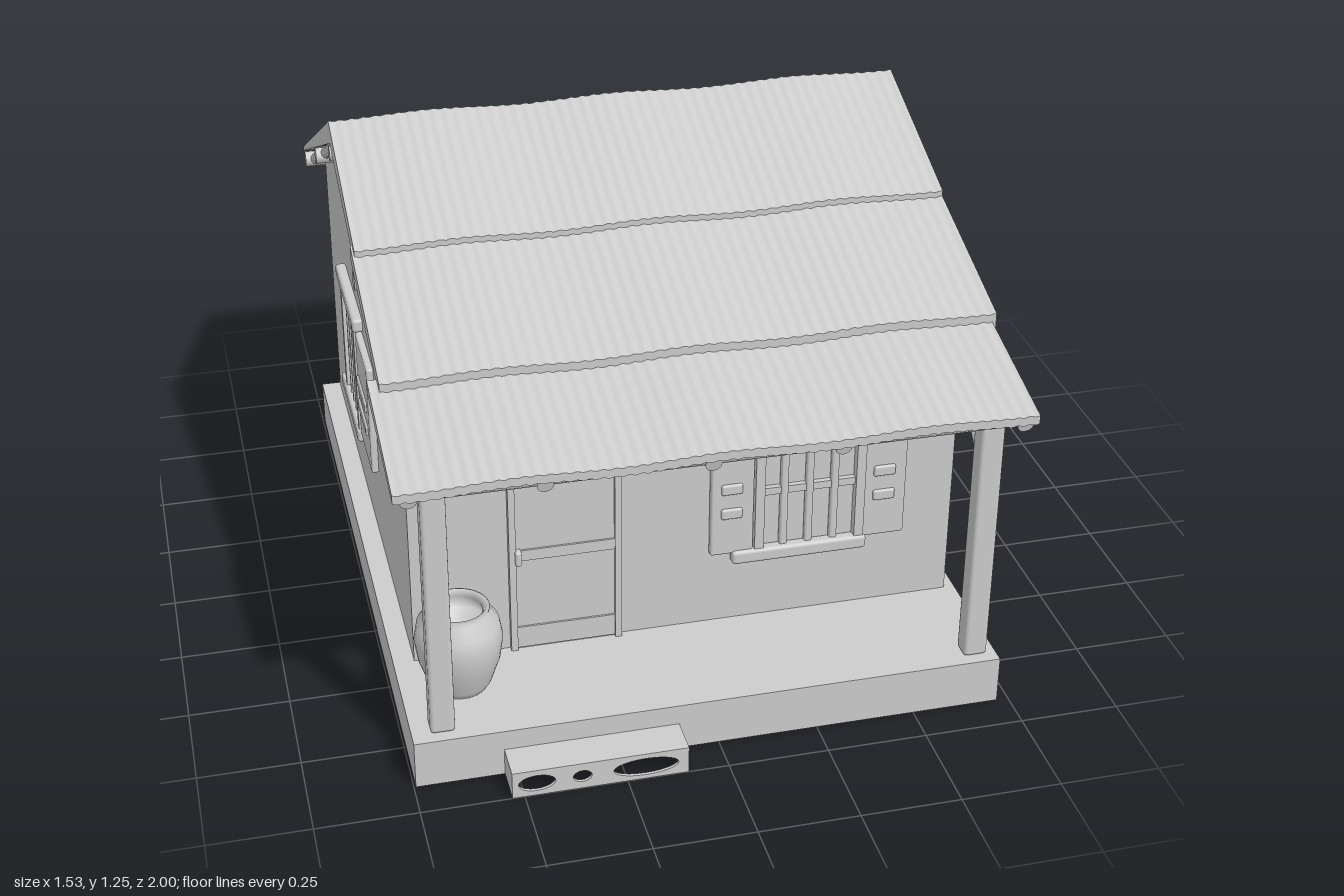
import * as THREE from 'three';
import { RoundedBoxGeometry } from 'three/addons/geometries/RoundedBoxGeometry.js';

export function createModel() {
  const house = new THREE.Group();
  house.name = 'house';
  const clay = new THREE.MeshStandardMaterial({ color: 0xcccccc });
  clay.name = 'pale grey';
  clay.side = THREE.DoubleSide;

  const add = (name, geometry, parent = house) => {
    const mesh = new THREE.Mesh(geometry, clay);
    mesh.name = name;
    parent.add(mesh);
    return mesh;
  };
  // Box given by its limits on each axis
  const block = (name, x0, x1, y0, y1, z0, z1, parent, round = 0) => {
    const size = [x1 - x0, y1 - y0, z1 - z0];
    const geo = round ? new RoundedBoxGeometry(...size, 2, round) : new THREE.BoxGeometry(...size);
    geo.translate((x0 + x1) / 2, (y0 + y1) / 2, (z0 + z1) / 2);
    return add(name, geo, parent);
  };
  // Round pole between two points
  const pole = (name, a, b, r, parent) => {
    const from = new THREE.Vector3(...a), to = new THREE.Vector3(...b);
    const dir = to.clone().sub(from);
    const mesh = add(name, new THREE.CylinderGeometry(r, r, dir.length(), 12), parent);
    mesh.position.copy(from).add(to).multiplyScalar(0.5);
    mesh.quaternion.setFromUnitVectors(new THREE.Vector3(0, 1, 0), dir.normalize());
    return mesh;
  };

  // Hollow plinth, open underneath
  const [px0, px1, pz0, pz1, floorY] = [-0.745, 0.72, -0.87, 0.905, 0.125];
  block('plinthFront', px0, px1, 0, floorY, pz1 - 0.012, pz1);
  block('plinthBack', px0, px1, 0, floorY, pz0, pz0 + 0.012);
  block('plinthRight', px0, px0 + 0.012, 0, floorY, pz0, pz1);
  block('plinthLeft', px1 - 0.012, px1, 0, floorY, pz0, pz1);
  block('porchFloor', px0, px1, floorY - 0.012, floorY, pz0, pz1);
  block('floorRidge', -0.69, 0.69, floorY - 0.02, floorY - 0.01, 0.56, 0.575);

  // Hollow front step with three openings in its face
  const face = new THREE.Shape([[-0.53, 0], [-0.1, 0], [-0.1, 0.07], [-0.53, 0.07]].map(p => new THREE.Vector2(...p)));
  for (const [cx, rx, ry] of [[-0.47, 0.045, 0.022], [-0.36, 0.023, 0.016], [-0.205, 0.08, 0.024]]) {
    const hole = new THREE.Path();
    hole.absellipse(cx, 0.035, rx, ry, 0, Math.PI * 2, true);
    face.holes.push(hole);
  }
  const step = new THREE.Group();
  step.name = 'frontStep';
  house.add(step);
  add('stepFace', new THREE.ExtrudeGeometry(face, { depth: 0.008, bevelEnabled: false }), step).position.z = 0.992;
  block('stepTop', -0.53, -0.1, 0.062, 0.072, 0.9, 1, step);
  for (const x of [-0.53, -0.108]) block('stepSide', x, x + 0.008, 0, 0.07, 0.9, 1, step);

  // Gabled walls
  const gable = new THREE.Shape(
    [[0.575, 0.12], [0.575, 0.915], [-0.215, 1.205], [-0.86, 0.885], [-0.86, 0.12]].map(p => new THREE.Vector2(...p)));
  const wallGeo = new THREE.ExtrudeGeometry(gable, { depth: 1.385, bevelEnabled: false });
  wallGeo.rotateY(-Math.PI / 2).translate(0.6925, 0, 0);
  add('walls', wallGeo);

  // Roof sheets: ribbed slabs laid from (z0, y0) down to (z1, y1)
  const roofSheet = (name, x0, x1, [z0, y0], [z1, y1], thick0, thick1, rib) => {
    const geo = new THREE.BoxGeometry(1, 1, 1, 240, 1, 10);
    const p = geo.attributes.position;
    for (let i = 0; i < p.count; i++) {
      const u = p.getX(i) + 0.5, v = p.getZ(i) + 0.5, top = p.getY(i) > 0;
      const x = x0 + (x1 - x0) * u;
      const sag = 0.004 * Math.cos(x * 13) - 0.004;
      const y = y0 + (y1 - y0) * v + sag + rib(x, v);
      p.setXYZ(i, x, top ? y : y - thick0 - (thick1 - thick0) * v, z0 + (z1 - z0) * v);
    }
    // Slopes running to the back reverse the winding
    if (z1 < z0) {
      const idx = geo.index;
      for (let i = 0; i < idx.count; i += 3) {
        const a = idx.getX(i);
        idx.setX(i, idx.getX(i + 1));
        idx.setX(i + 1, a);
      }
    }
    geo.computeVertexNormals();
    add(name, geo);
  };
  const ribs = x => 0.0018 * Math.sin(x * 210);
  const thatch = (x, v) => 0.001 * Math.sin(x * 47 + Math.sin(x * 31)) * Math.sin(v * 7 + x * 9);
  roofSheet('roofUpperCourse', -0.74, 0.76, [-0.22, 1.252], [0.21, 1.09], 0.06, 0.045, ribs);
  roofSheet('roofMiddleCourse', -0.745, 0.76, [0.17, 1.088], [0.615, 0.945], 0.04, 0.04, ribs);
  roofSheet('roofPorchCourse', -0.768, 0.75, [0.57, 0.935], [0.94, 0.845], 0.035, 0.022, ribs);
  roofSheet('roofBackSlope', -0.74, 0.76, [-0.22, 1.252], [-1, 0.85], 0.06, 0.012, thatch);

  // Purlins under the roof
  for (const [z, y, r] of [[0.2, 1.0, 0.024], [0.565, 0.89, 0.022], [-0.2, 1.165, 0.02], [-0.58, 0.995, 0.022], [-0.905, 0.845, 0.022]])
    pole('purlin', [-0.745, y, z], [0.745, y, z], r);
  block('porchBeam', -0.76, 0.745, 0.78, 0.822, 0.83, 0.88, house, 0.012);
  pole('eavesPole', [-0.76, 0.815, 0.905], [0.745, 0.815, 0.905], 0.017);

  // Porch rafters and gable trim
  for (const x of [-0.73, -0.42, -0.03, 0.28, 0.725])
    pole('rafter', [x, 0.895, 0.57], [x, 0.803, 0.92], 0.02);
  for (const x of [-0.715, 0.715]) {
    pole('gableTrimFront', [x, 1.18, -0.21], [x, 0.9, 0.58], 0.018);
    pole('gableTrimBack', [x, 1.18, -0.21], [x, 0.845, -0.9], 0.016);
  }

  // Porch posts with braces
  for (const x of [-0.67, 0.665]) {
    block('porchPost', x - 0.03, x + 0.03, floorY, 0.8, 0.825, 0.878, house, 0.01);
    pole('postBrace', [x, 0.66, 0.835], [x, 0.885, 0.59], 0.016);
  }

  // Door
  const door = new THREE.Group();
  door.name = 'door';
  house.add(door);
  block('doorLeaf', -0.44, -0.18, floorY, 0.69, 0.57, 0.582, door);
  for (const x of [-0.45, -0.185]) block('doorJamb', x, x + 0.017, floorY, 0.7, 0.57, 0.592, door);
  block('doorHead', -0.45, -0.168, 0.685, 0.7, 0.57, 0.592, door);
  block('doorLintel', -0.485, -0.165, 0.705, 0.735, 0.57, 0.58, door);
  for (const [y0, y1] of [[0.13, 0.19], [0.385, 0.415], [0.655, 0.685]])
    block('doorRail', -0.433, -0.185, y0, y1, 0.57, 0.587, door);
  block('doorHandle', -0.436, -0.42, 0.38, 0.42, 0.58, 0.605, door, 0.006);

  // Barred window, facing +z around its own origin; shutters are [x0, x1] pairs
  const makeWindow = (name, w, y0, y1, bars, depth, shutters) => {
    const win = new THREE.Group();
    win.name = name;
    const h = w / 2, mid = (y0 + y1) / 2;
    block('windowHead', -h - 0.05, h + 0.05, y1 + 0.01, y1 + 0.048, 0, depth, win, depth * 0.3);
    block('windowSill', -h - 0.07, h + 0.02, y0 - 0.03, y0 + 0.008, 0, depth, win, depth * 0.3);
    for (const s of [-1, 1])
      block('windowJamb', s * h - 0.012, s * h + 0.012, y0, y1 + 0.015, 0, depth * 0.8, win);
    for (let i = 1; i <= bars; i++) {
      const x = -h + (w * i) / (bars + 1);
      block('windowBar', x - 0.01, x + 0.01, y0, y1 + 0.015, 0, depth * 0.6, win, depth * 0.2);
    }
    block('windowMidRail', -h, h, mid - 0.01, mid + 0.01, 0, depth * 0.5, win);
    for (const [a, b] of shutters) {
      block('shutter', a, b, y0, y1, 0, depth * 0.7, win, depth * 0.2);
      for (const y of [mid - 0.06, mid + 0.01])
        block('shutterSlat', a + 0.025, b - 0.03, y, y + 0.03, 0, depth * 0.9, win, depth * 0.2);
    }
    house.add(win);
    return win;
  };
  makeWindow('frontWindow', 0.26, 0.33, 0.66, 3, 0.032, [[-0.255, -0.145], [0.138, 0.25]])
    .position.set(0.312, 0, 0.573);
  const left = makeWindow('leftWindow', 0.22, 0.385, 0.665, 3, 0.018, []);
  left.position.set(0.69, 0, -0.295);
  left.rotation.y = Math.PI / 2;
  const right = makeWindow('rightWindow', 0.25, 0.35, 0.66, 4, 0.03, [[0.145, 0.36]]);
  right.position.set(-0.69, 0, -0.32);
  right.rotation.y = -Math.PI / 2;

  // Water jar with an open mouth
  const jar = [[0, 0], [0.066, 0], [0.078, 0.02], [0.1, 0.085], [0.108, 0.14], [0.1, 0.185], [0.076, 0.212],
    [0.078, 0.226], [0.07, 0.23], [0.06, 0.215], [0.08, 0.17], [0, 0.15]].map(p => new THREE.Vector2(...p));
  add('waterJar', new THREE.LatheGeometry(jar, 40)).position.set(-0.597, floorY, 0.692);

  return house;
}
